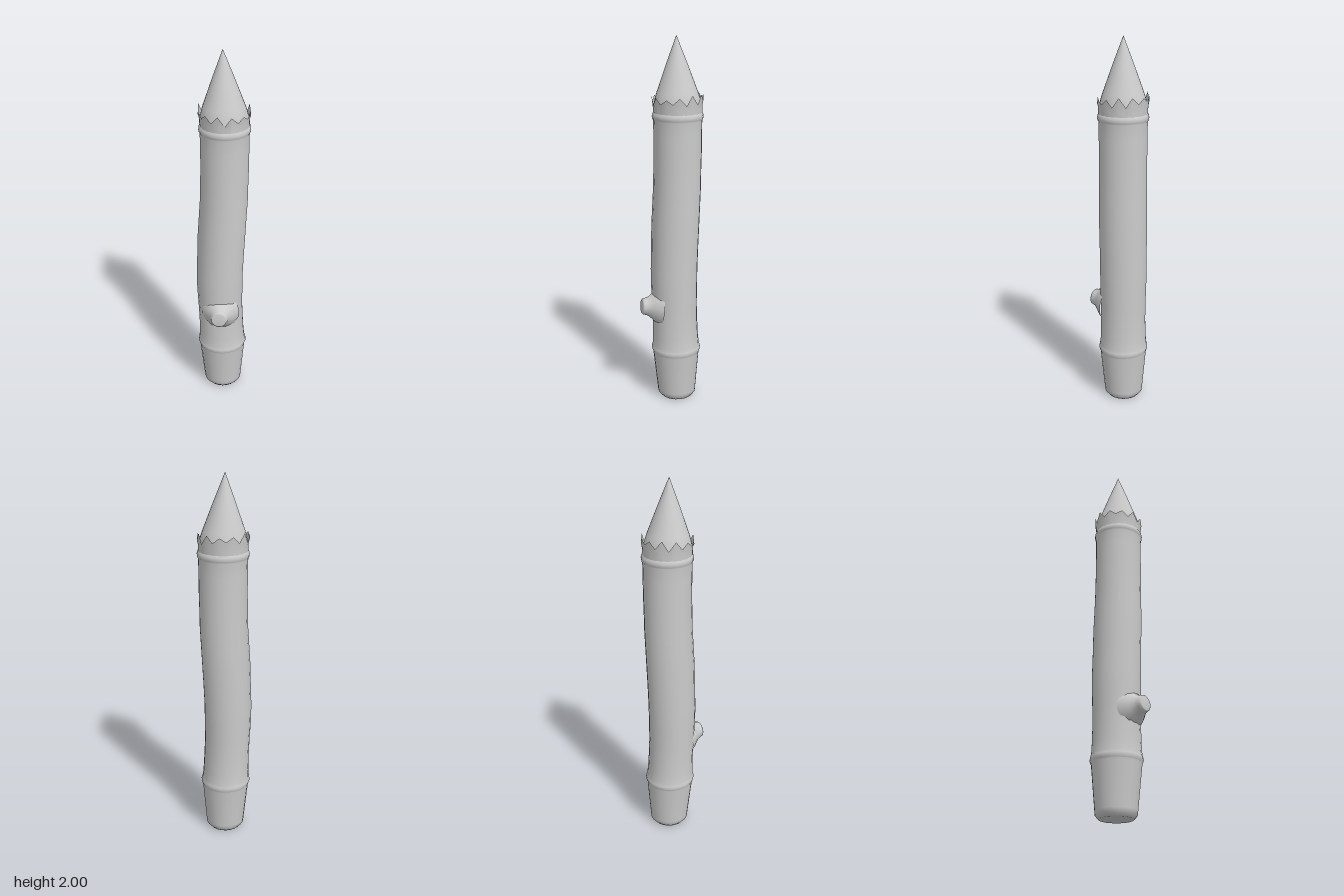
import * as THREE from 'three';

const SIDES = 22;

// Centre line of the slightly bent stake: [y, x, z]
const SPINE = [
  [0, 0.002, -0.032], [0.28, -0.002, -0.029], [0.45, -0.009, -0.027], [0.6, -0.016, -0.026],
  [0.75, -0.017, -0.026], [1.0, -0.006, -0.026], [1.2, 0.007, -0.027], [1.4, 0.012, -0.028],
  [1.62, 0.012, -0.028], [1.7, 0.009, -0.028], [2.0, 0.001, -0.026],
];

function spineAt(y) {
  let i = 0;
  while (i < SPINE.length - 2 && y > SPINE[i + 1][0]) i++;
  const [a, b] = [SPINE[i], SPINE[i + 1]];
  const t = (y - a[0]) / (b[0] - a[0]);
  return [a[1] + (b[1] - a[1]) * t, a[2] + (b[2] - a[2]) * t];
}

// Turned profile of [radius, y] points
function turned(profile, sides = SIDES) {
  return new THREE.LatheGeometry(profile.map(([r, y]) => new THREE.Vector2(r, y)), sides);
}

// Shift each ring of a turned shape onto the bent centre line
function bend(geometry) {
  const p = geometry.attributes.position;
  for (let i = 0; i < p.count; i++) {
    const [x, z] = spineAt(p.getY(i));
    p.setX(i, p.getX(i) + x);
    p.setZ(i, p.getZ(i) + z);
  }
  return geometry;
}

export function createModel() {
  const group = new THREE.Group();
  const solid = new THREE.MeshStandardMaterial({ color: 0xcccccc });
  const thin = new THREE.MeshStandardMaterial({ color: 0xcccccc, side: THREE.DoubleSide });
  const add = (name, geometry, material = solid) => {
    const mesh = new THREE.Mesh(geometry, material);
    mesh.name = name;
    group.add(mesh);
    return mesh;
  };

  // Tapered foot with a small bevel underneath
  add('foot', bend(turned([
    [0, 0], [0.088, 0], [0.105, 0.02], [0.107, 0.04], [0.128, 0.265], [0.133, 0.285],
  ])));

  // Bark-covered trunk with a raised ridge at each end
  add('trunk', bend(turned([
    [0.131, 0.275], [0.136, 0.288], [0.134, 0.302], [0.129, 0.315], [0.126, 0.37], [0.124, 0.45],
    [0.124, 0.55], [0.127, 0.65], [0.128, 0.75], [0.128, 0.87], [0.129, 1.0], [0.128, 1.1],
    [0.127, 1.2], [0.126, 1.3], [0.126, 1.4], [0.126, 1.5], [0.127, 1.575], [0.132, 1.583],
    [0.134, 1.595], [0.132, 1.606], [0.127, 1.615],
  ])));

  // Torn bark collar: an open band whose upper edge is jagged
  const collar = turned([[0.127, 1.61], [0.128, 1.65], [0.133, 1.7]], 24);
  const p = collar.attributes.position;
  for (let i = 0; i < p.count; i++) {
    if (p.getY(i) < 1.69) continue;
    const k = Math.floor(i / 3) % 24;
    const back = -p.getZ(i) / 0.133;
    const tooth = k % 2 ? 1.668 : 1.704;
    p.setY(i, tooth + 0.008 * back + 0.008 * Math.sin(k * 2.4));
  }
  collar.computeVertexNormals();
  add('jaggedCollar', bend(collar), thin);

  // Sharpened point, with a shoulder that sits inside the collar
  add('point', bend(turned([
    [0.127, 1.635], [0.122, 1.66], [0.115, 1.69], [0.107, 1.715], [0.055, 1.857], [0, 2],
  ], 32)));

  // Stub of a cut branch, flaring into the trunk
  const stub = add('branchStub', turned([
    [0.105, -0.1], [0.09, -0.075], [0.068, -0.05], [0.052, -0.03], [0.046, -0.012],
    [0.043, 0], [0.036, 0.005], [0, 0.006],
  ], 14));
  const direction = new THREE.Vector3(-0.35, 0.08, 0.93).normalize();
  stub.quaternion.setFromUnitVectors(new THREE.Vector3(0, 1, 0), direction);
  stub.position.set(-0.07, 0.55, 0.148);

  return group;
}
